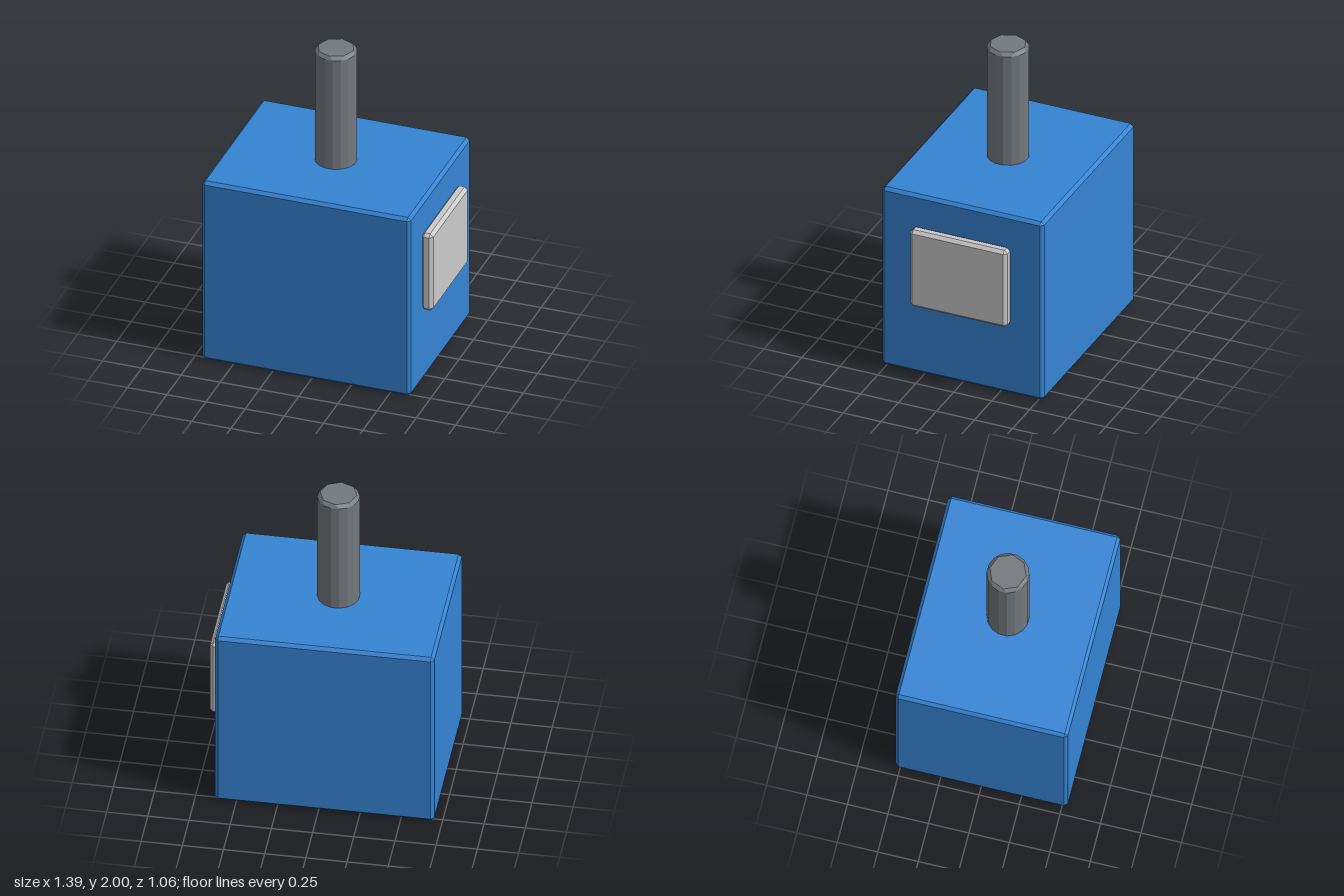
import * as THREE from 'three';
import { ConvexGeometry } from 'three/addons/geometries/ConvexGeometry.js';

const signs = [-1, 1];

// Box between two corners, every edge cut by a flat chamfer c
function chamferBox(min, max, c) {
  const centre = min.map((v, i) => (v + max[i]) / 2);
  const half = max.map((v, i) => (v - min[i]) / 2);
  const points = [];
  for (const sx of signs) for (const sy of signs) for (const sz of signs) {
    const s = [sx, sy, sz];
    for (let face = 0; face < 3; face++) {
      points.push(new THREE.Vector3(...s.map((sign, i) =>
        centre[i] + sign * (half[i] - (i === face ? 0 : c)))));
    }
  }
  return new ConvexGeometry(points);
}

// Corners of a level ring
function ring(sides, radius, y, turn) {
  return Array.from({ length: sides }, (_, i) => {
    const a = (i / sides) * Math.PI * 2 + turn;
    return new THREE.Vector3(Math.cos(a) * radius, y, Math.sin(a) * radius);
  });
}

export function createModel() {
  const model = new THREE.Group();
  const add = (name, geometry, color) => {
    const mesh = new THREE.Mesh(geometry,
      new THREE.MeshStandardMaterial({ color, flatShading: true }));
    mesh.name = name;
    model.add(mesh);
    return mesh;
  };

  // Main housing block
  add('body', chamferBox([-0.7, 0, -0.532], [0.63, 1.23, 0.532], 0.02), 0x3584d4);

  // Raised plate on the left side
  add('sidePlate', chamferBox([0.62, 0.485, -0.32], [0.695, 1.015, 0.32], 0.02), 0xcccccc);

  // Octagonal shaft: its bevelled edges make 16 sides, ending in an eight-sided cap
  const turn = Math.PI / 16;
  const shaft = add('shaft', new ConvexGeometry([
    ...ring(16, 0.128, 1.2, turn),
    ...ring(16, 0.128, 1.98, turn),
    ...ring(8, 0.112, 2, 0),
  ]), 0x74797e);
  shaft.position.x = -0.035;

  return model;
}
